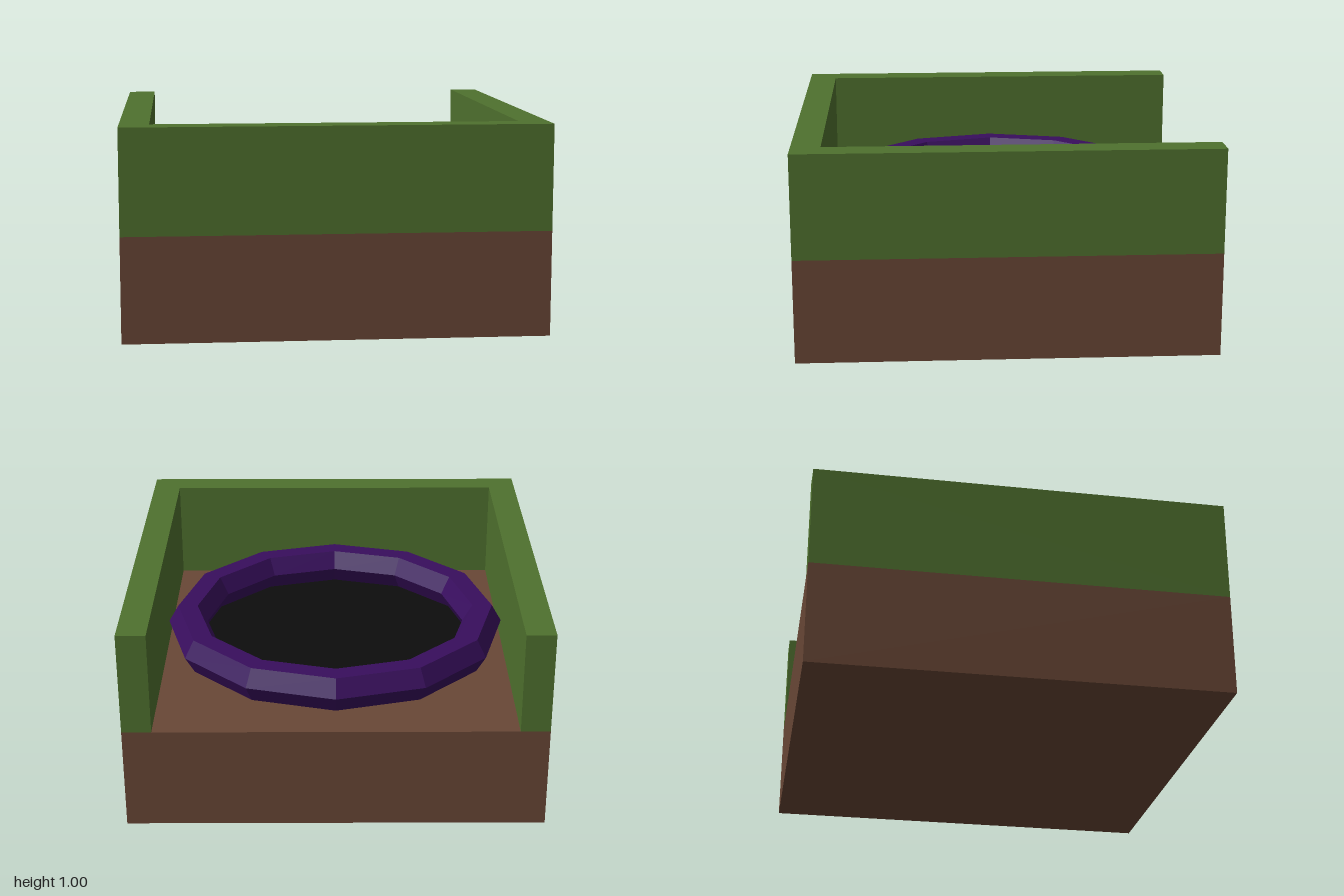
import * as THREE from 'three';

const mat = (name, color) => {
  const m = new THREE.MeshStandardMaterial({ color, flatShading: true });
  m.name = name;
  return m;
};

export function createModel() {
  const brown = mat('earthBrown', 0x694736);
  const green = mat('grassGreen', 0x4f712e);
  const purple = mat('rimPurple', 0x380e5d);
  const black = mat('pitBlack', 0x0d0d0d);

  const model = new THREE.Group();
  model.name = 'walledPit';
  const add = (name, geometry, material, x, y, z) => {
    const mesh = new THREE.Mesh(geometry, material);
    mesh.name = name;
    mesh.position.set(x, y, z);
    model.add(mesh);
  };

  // Earth block
  add('base', new THREE.BoxGeometry(2, 0.5, 2), brown, 0, 0.25, 0);

  // U-shaped wall around the sides and front, open at the back
  const t = 0.14, inner = 1 - t;
  const outline = [[-1, -1], [1, -1], [1, 1], [inner, 1], [inner, -inner], [-inner, -inner], [-inner, 1], [-1, 1]];
  const shape = new THREE.Shape(outline.map(([x, y]) => new THREE.Vector2(x, y)));
  const wall = new THREE.ExtrudeGeometry(shape, { depth: 0.5, bevelEnabled: false });
  wall.rotateX(-Math.PI / 2);
  add('wall', wall, green, 0, 0.5, 0);

  // Twelve-sided ring with a hexagonal section
  const ring = new THREE.TorusGeometry(0.76, 0.1, 6, 12);
  ring.rotateX(Math.PI / 2);
  add('rim', ring, purple, 0, 0.595, 0);

  // Dark floor inside the ring
  add('pitFloor', new THREE.CylinderGeometry(0.75, 0.75, 0.009, 12), black, 0, 0.5045, 0);

  return model;
}
